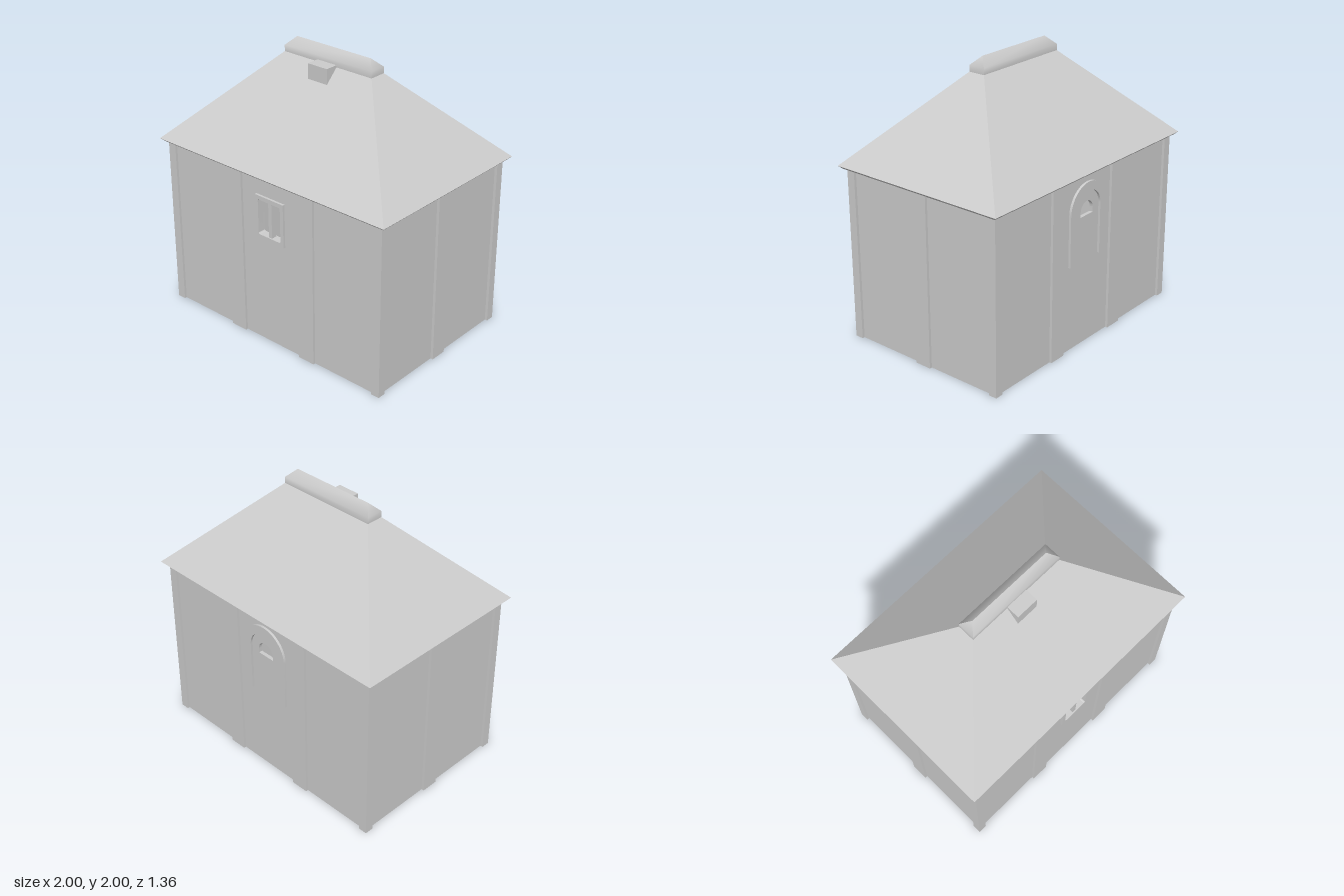
import * as THREE from 'three';
import { toCreasedNormals } from 'three/addons/utils/BufferGeometryUtils.js';

const stone = new THREE.MeshStandardMaterial({ color: 0xcccccc });
stone.name = 'pale grey';

export function createModel() {
  const house = new THREE.Group();
  house.name = 'house';

  const add = (name, geometry) => {
    const mesh = new THREE.Mesh(geometry, stone);
    mesh.name = name;
    house.add(mesh);
    return mesh;
  };
  // Box given by its lower and upper limits on each axis
  const box = (name, x0, x1, y0, y1, z0, z1) =>
    add(name, new THREE.BoxGeometry(x1 - x0, y1 - y0, z1 - z0))
      .position.set((x0 + x1) / 2, (y0 + y1) / 2, (z0 + z1) / 2);
  // Upright plate with an outline and holes in the xy plane
  const plate = (name, outline, holes, z0, z1) => {
    outline.holes.push(...holes);
    const g = new THREE.ExtrudeGeometry(outline, { depth: z1 - z0, bevelEnabled: false, curveSegments: 16 });
    add(name, toCreasedNormals(g, 0.6)).position.z = z0;
  };
  const rect = (x, y0, y1) => new THREE.Shape([
    new THREE.Vector2(-x, y0), new THREE.Vector2(x, y0),
    new THREE.Vector2(x, y1), new THREE.Vector2(-x, y1)]);
  const roundRect = (x, y0, y1, r) => new THREE.Shape()
    .absarc(x - r, y0 + r, r, -Math.PI / 2, 0)
    .absarc(x - r, y1 - r, r, 0, Math.PI / 2)
    .absarc(-x + r, y1 - r, r, Math.PI / 2, Math.PI)
    .absarc(-x + r, y0 + r, r, Math.PI, Math.PI * 1.5);
  const arch = (r, base, spring) => new THREE.Shape()
    .moveTo(-r, base).lineTo(r, base).lineTo(r, spring)
    .absarc(0, spring, r, 0, Math.PI);
  // Skin through rectangular rings [half width, half depth, height]
  const rings = (list, crease) => {
    const pos = [], index = [];
    for (const [x, z, y] of list) pos.push(x, y, z, x, y, -z, -x, y, -z, -x, y, z);
    for (let i = 0; i < list.length - 1; i++) {
      for (let k = 0; k < 4; k++) {
        const a = i * 4 + k, b = i * 4 + (k + 1) % 4;
        index.push(a, b, b + 4, a, b + 4, a + 4);
      }
    }
    const g = new THREE.BufferGeometry();
    g.setAttribute('position', new THREE.Float32BufferAttribute(pos, 3));
    g.setIndex(index);
    return toCreasedNormals(g, crease);
  };

  // Thin walls around an open interior
  const top = 1.305;
  plate('frontWall', rect(0.92, 0, top), [rect(0.1, 0.83, 1.09)], 0.597, 0.623);
  plate('backWall', rect(0.92, 0, top), [arch(0.067, 0.95, 0.985)], -0.623, -0.597);
  for (const s of [-1, 1]) {
    const c = s * 0.923;
    box('sideWall', c - 0.013, c + 0.013, 0, top, -0.61, 0.61);
    // Side pilaster
    box('sidePilaster', c - 0.032, c + 0.032, 0, 1.285, -0.062, 0.062);
    for (const t of [-1, 1]) {
      const d = t * 0.61, p = s * 0.32;
      box('cornerPost', c - 0.032, c + 0.032, 0, 1.285, d - 0.031, d + 0.031);
      box('longPilaster', p - 0.065, p + 0.065, 0, 1.285, d - 0.031, d + 0.031);
    }
  }

  // Front window: frame and central bar
  plate('windowFrame', rect(0.127, 0.8, 1.12), [roundRect(0.1, 0.83, 1.09, 0.012)], 0.58, 0.64);
  box('windowBar', -0.014, 0.014, 0.825, 1.095, 0.59, 0.63);

  // Raised arch moulding on the back wall
  const moulding = new THREE.Shape()
    .moveTo(0.13, 0.63).lineTo(0.193, 0.63).lineTo(0.193, 1)
    .absarc(0, 1, 0.193, 0, Math.PI)
    .lineTo(-0.193, 0.63).lineTo(-0.13, 0.63).lineTo(-0.13, 1)
    .absarc(0, 1, 0.13, Math.PI, 0, true);
  plate('archMoulding', moulding, [], -0.64, -0.615);

  // Hipped roof shell, from the inner top round the eave to the outer top
  add('roof', rings([
    [0.345, 0.025, 1.89], [0.98, 0.66, 1.255], [1, 0.682, 1.275], [0.38, 0.062, 1.895]], 0.2));
  add('ridgeCap', rings([
    [0, 0, 1.895], [0.38, 0.062, 1.895], [0.38, 0.062, 1.94], [0.32, 0, 2]], 0.9));
  box('chimney', -0.083, 0.083, 1.8, 1.91, 0.06, 0.157);

  return house;
}
